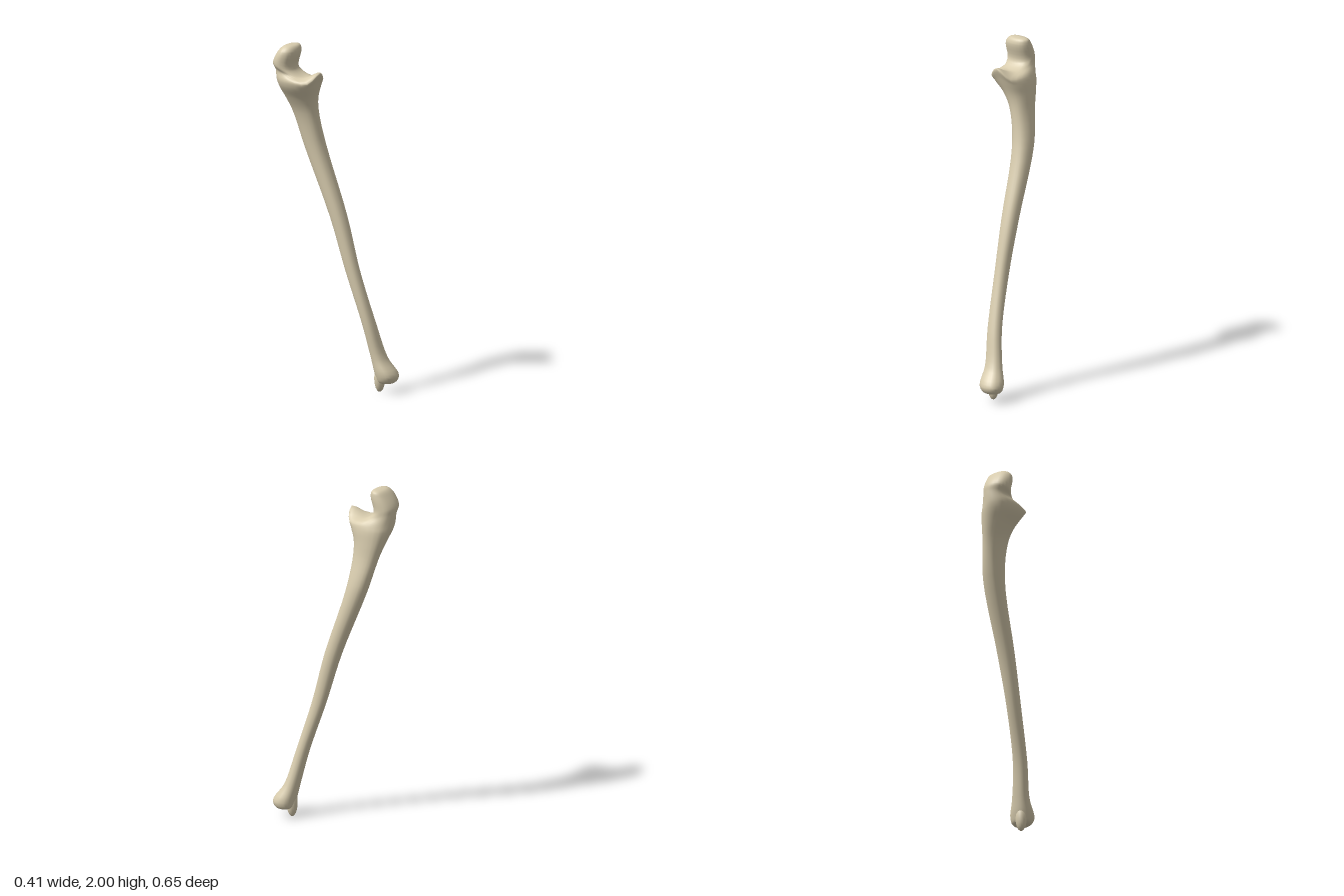
import * as THREE from 'three';

const bone = new THREE.MeshStandardMaterial({ color: 0xd8ccae });
bone.name = 'bone';

// Eight-point oval ring at height y, filling x0..x1 and z0..z1, starting at the front.
// tilt raises the front and lowers the back; ridge lifts only the front point.
function oval(y, x0, x1, z0, z1, tilt = 0, ridge = 0) {
  return Array.from({ length: 8 }, (_, i) => {
    const a = (i / 8) * Math.PI * 2;
    const k = i % 2 ? 1.04 : 1;
    return new THREE.Vector3(
      (x0 + x1) / 2 + Math.sin(a) * k * (x1 - x0) / 2,
      y + Math.cos(a) * tilt + (i === 0 ? ridge : 0),
      (z0 + z1) / 2 + Math.cos(a) * k * (z1 - z0) / 2);
  });
}

// Closing point of a loft
const pole = (x, y, z) => oval(y, x, x, z, z);

// Smooth skin through rings listed from bottom to top
function loft(rings, around = 24, steps = 5) {
  const columns = rings[0].map((_, j) => new THREE.CatmullRomCurve3(rings.map((r) => r[j])));
  const rows = (rings.length - 1) * steps;
  const positions = [];
  const index = [];
  for (let i = 0; i <= rows; i++) {
    const loop = new THREE.CatmullRomCurve3(columns.map((c) => c.getPoint(i / rows)), true);
    for (let j = 0; j < around; j++) {
      positions.push(...loop.getPoint(j / around).toArray());
      if (i === rows) continue;
      const a = i * around + j;
      const b = i * around + (j + 1) % around;
      index.push(a, b, a + around, b, b + around, a + around);
    }
  }
  const geometry = new THREE.BufferGeometry();
  geometry.setAttribute('position', new THREE.Float32BufferAttribute(positions, 3));
  geometry.setIndex(index);
  geometry.computeVertexNormals();
  return geometry;
}

export function createModel() {
  const model = new THREE.Group();
  model.name = 'forearmBone';

  const lowerHead = [
    pole(0.135, 0.055, 0.26),
    oval(0.06, 0.085, 0.185, 0.215, 0.305),
    oval(0.1, 0.065, 0.202, 0.2, 0.325),
    oval(0.2, 0.06, 0.165, 0.182, 0.265),
  ];
  const shaft = [
    oval(0.4, 0.035, 0.12, 0.14, 0.212),
    oval(0.7, 0.008, 0.085, 0.043, 0.126),
    oval(1, -0.015, 0.08, -0.05, 0.047),
    oval(1.4, -0.055, 0.06, -0.205, -0.08),
    oval(1.6, -0.095, 0.02, -0.26, -0.1),
  ];
  // front ledge: flare, rim, then the floor of the notch
  const ledge = [
    oval(1.69, -0.14, 0.012, -0.288, -0.09),
    oval(1.76, -0.188, 0.007, -0.31, -0.055, 0, 0.03),
    oval(1.797, -0.2, -0.003, -0.318, -0.035, 0, 0.06),
    oval(1.838, -0.184, -0.03, -0.323, -0.14, -0.02),
  ];
  const hook = [
    oval(1.88, -0.203, -0.037, -0.322, -0.198, -0.02),
    oval(1.96, -0.2, -0.036, -0.29, -0.182),
    oval(1.992, -0.17, -0.045, -0.262, -0.195),
    pole(-0.11, 2, -0.23),
  ];
  const body = new THREE.Mesh(loft([...lowerHead, ...shaft, ...ledge, ...hook]), bone);
  body.name = 'shaftAndHeads';
  model.add(body);

  // small spike below the lower head
  const spike = new THREE.Mesh(new THREE.SphereGeometry(1, 16, 12), bone);
  spike.name = 'lowerSpike';
  spike.scale.set(0.034, 0.08, 0.03);
  spike.position.set(0.112, 0.083, 0.226);
  model.add(spike);

  return model;
}
